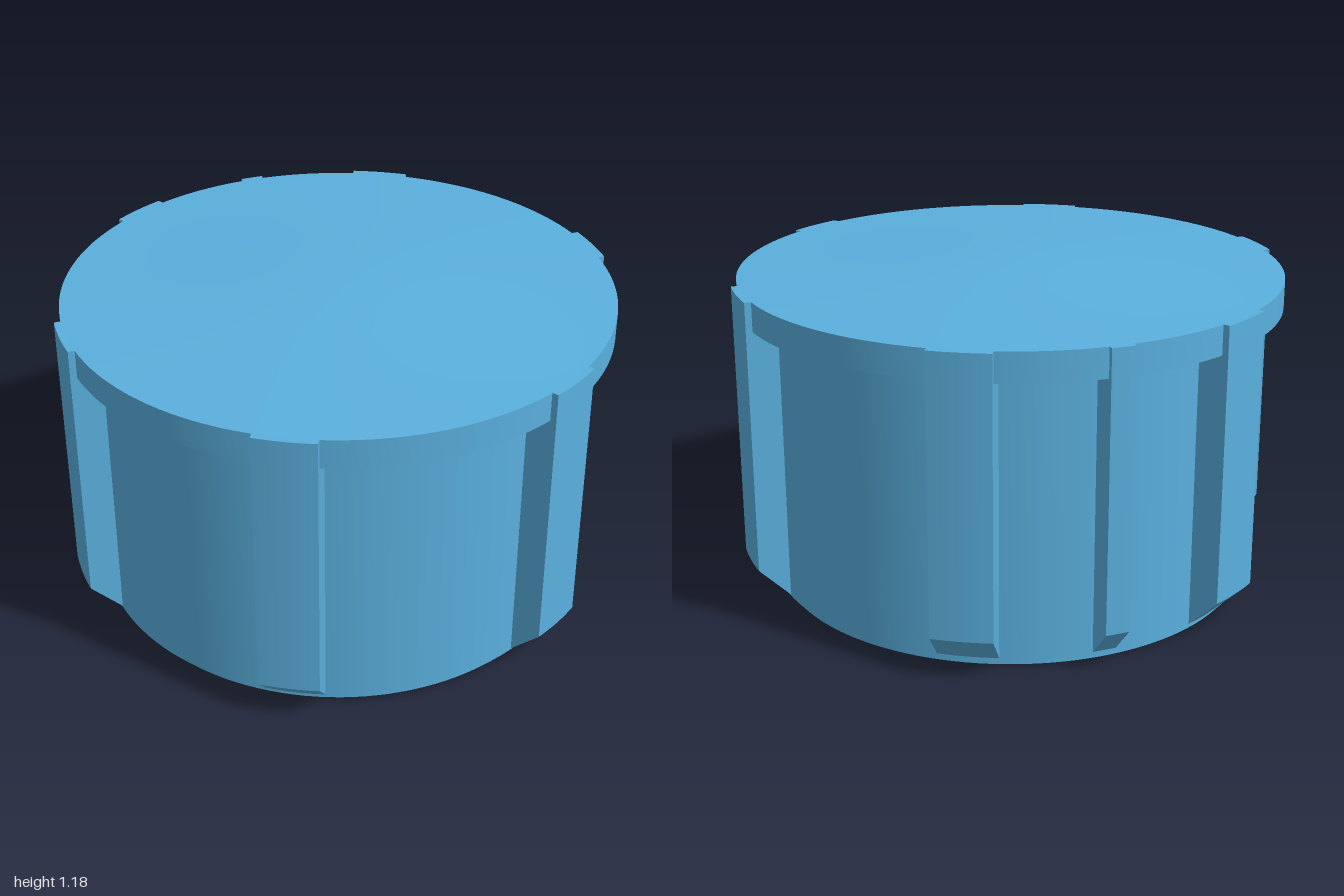
import * as THREE from 'three';
import { toCreasedNormals } from 'three/addons/utils/BufferGeometryUtils.js';

const material = new THREE.MeshStandardMaterial({ color: 0x5ab0de });

function addMesh(parent, name, geometry) {
  const mesh = new THREE.Mesh(toCreasedNormals(geometry, 0.4), material);
  mesh.name = name;
  parent.add(mesh);
  return mesh;
}

const lathe = (points) =>
  new THREE.LatheGeometry(points.map(([r, y]) => new THREE.Vector2(r, y)), 128);

// Upright grip rib with parallel sides, chamfered foot and an arc-shaped outer face
function ribGeometry(width, radius) {
  const profile = [[0.84, 0.1], [0.888, 0.037], [radius, 0.15], [radius, 1.14], [0.84, 1.14]];
  const shape = new THREE.Shape(profile.map(([r, y]) => new THREE.Vector2(r, y)));
  const geometry = new THREE.ExtrudeGeometry(shape, { depth: width, steps: 8, bevelEnabled: false });
  geometry.translate(0, 0, -width / 2);
  const p = geometry.attributes.position;
  for (let i = 0; i < p.count; i++) p.setX(i, Math.sqrt(p.getX(i) ** 2 - p.getZ(i) ** 2));
  return geometry;
}

export function createModel() {
  const model = new THREE.Group();
  model.name = 'cap';

  // Body: bottom disc, barrel, overhanging lip and shallow domed top
  addMesh(model, 'body', lathe([
    [0, 0], [0.86, 0], [0.86, 0.035], [0.89, 0.035], [0.89, 1.035],
    [0.977, 1.035], [0.977, 1.14],
    [0.8, 1.147], [0.6, 1.156], [0.4, 1.167], [0.25, 1.175], [0.12, 1.18], [0, 1.181],
  ]));

  // Six wide ribs around the barrel
  const wide = ribGeometry(0.212, 1);
  for (let i = 0; i < 6; i++) {
    addMesh(model, 'gripRib', wide).rotation.y = (i * Math.PI) / 3;
  }

  // One narrow locating rib at the back
  addMesh(model, 'backRib', ribGeometry(0.084, 0.995)).rotation.y = Math.PI / 2;

  model.position.z = 0.005;
  return model;
}
